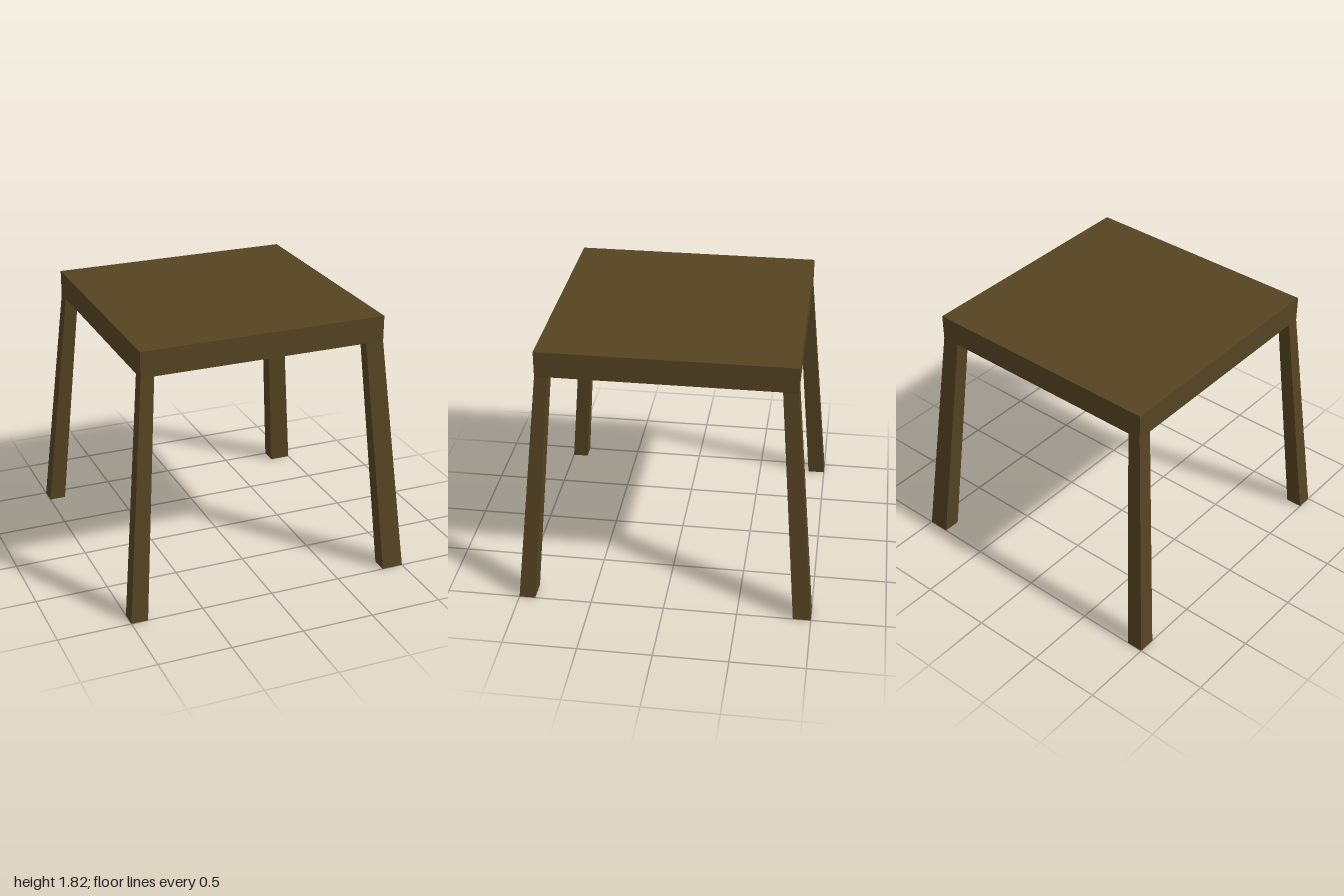
import * as THREE from 'three';

const SEAT = 0.845, UNDER = 1.645, TOP = 1.82;

// Tapered leg: a box whose bottom and top rectangles are set separately
function createLeg(sx, sz, bottomIn, topIn, material) {
  const geometry = new THREE.BoxGeometry(1, 1, 1);
  const p = geometry.attributes.position;
  for (let i = 0; i < p.count; i++) {
    const up = p.getY(i) > 0;
    const outer = up ? SEAT : 1;
    const inner = up ? topIn : bottomIn;
    const x = p.getX(i) * sx > 0 ? outer : inner[0];
    const z = p.getZ(i) * sz > 0 ? outer : inner[1];
    p.setXYZ(i, sx * x, up ? UNDER : 0, sz * z);
  }
  geometry.computeVertexNormals();
  return new THREE.Mesh(geometry, material);
}

export function createModel() {
  const model = new THREE.Group();
  model.name = 'stool';
  const wood = new THREE.MeshStandardMaterial({ color: 0x554422 });

  // Square slab seat
  const seat = new THREE.Mesh(new THREE.BoxGeometry(SEAT * 2, TOP - UNDER, SEAT * 2), wood);
  seat.position.y = (TOP + UNDER) / 2;
  seat.name = 'seat';
  model.add(seat);

  // Four splayed legs, slightly wider on the +x side
  for (const sx of [-1, 1]) {
    for (const sz of [-1, 1]) {
      const bottomIn = [sx > 0 ? 0.85 : 0.885, sz > 0 ? 0.89 : 0.88];
      const topIn = [sx > 0 ? 0.72 : 0.755, sz > 0 ? 0.76 : 0.745];
      const leg = createLeg(sx, sz, bottomIn, topIn, wood);
      leg.name = (sz > 0 ? 'front' : 'back') + (sx > 0 ? 'Left' : 'Right') + 'Leg';
      model.add(leg);
    }
  }
  return model;
}
